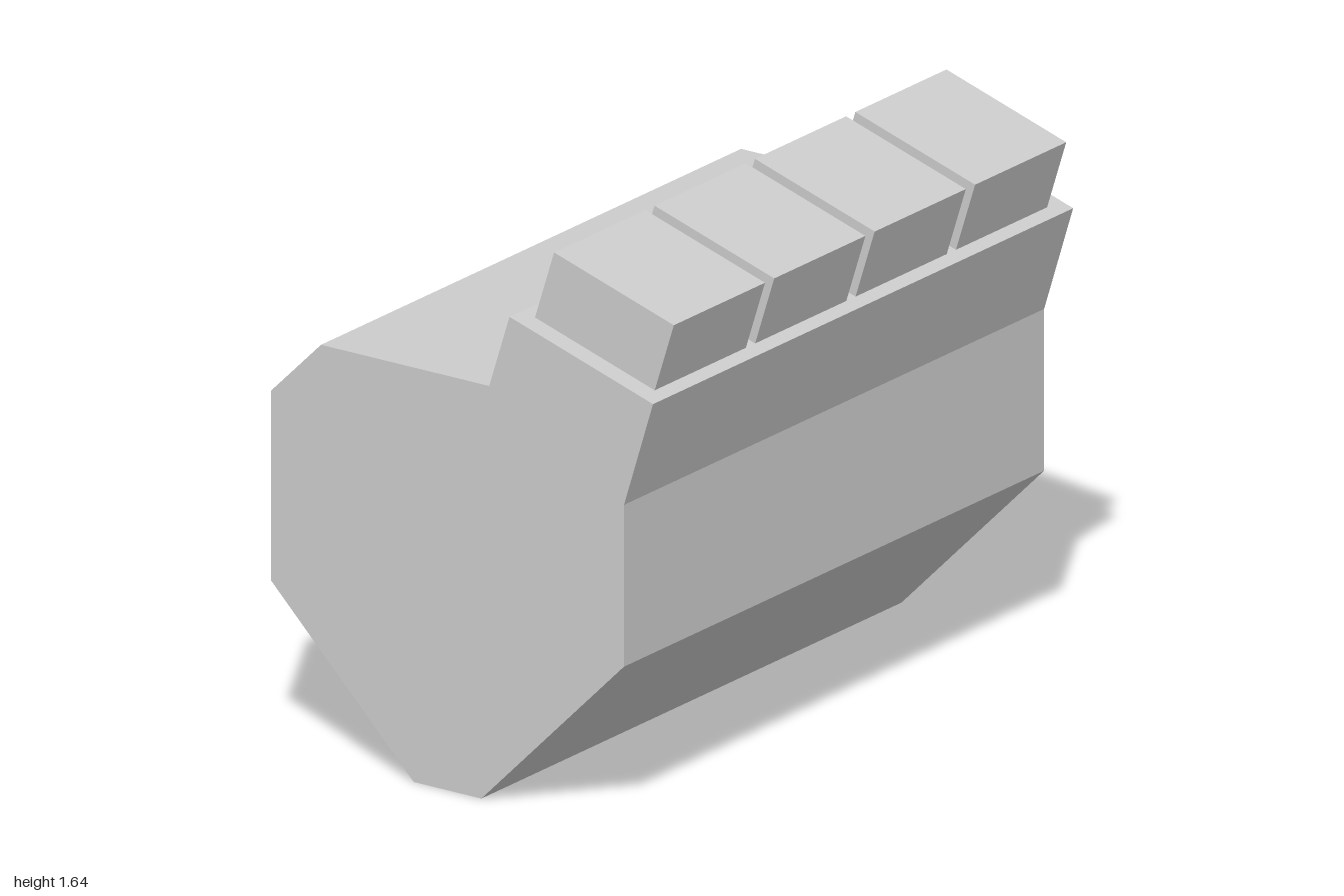
import * as THREE from 'three';

// Extrude a front-facing (x, y) outline along z, centred on z = 0
function prism(name, outline, depth, material) {
  const shape = new THREE.Shape(outline.map(([x, y]) => new THREE.Vector2(x, y)));
  const geometry = new THREE.ExtrudeGeometry(shape, { depth, bevelEnabled: false });
  geometry.translate(0, 0, -depth / 2);
  const mesh = new THREE.Mesh(geometry, material);
  mesh.name = name;
  return mesh;
}

export function createModel() {
  const group = new THREE.Group();
  group.name = 'ridgedBlock';
  const material = new THREE.MeshStandardMaterial({ color: 0xcccccc, flatShading: true });

  // Main body: chamfered prism with a slanted rail along its left side
  group.add(prism('body', [
    [-0.18, 0], [0.053, 0], [0.545, 0.495], [0.545, 0.975], [0.645, 1.295],
    [0.15, 1.45], [0.08, 1.23], [-0.5, 1.23], [-0.673, 1.057], [-0.673, 0.495],
  ], 2, material));

  // Row of four tilted blocks standing on the rail
  const blockOutline = [[0.19, 1.437], [0.603, 1.308], [0.669, 1.515], [0.256, 1.644]];
  const spacing = 0.478;
  for (let i = 0; i < 4; i++) {
    const block = prism('railBlock' + (i + 1), blockOutline, 0.434, material);
    block.position.z = (i - 1.5) * spacing;
    group.add(block);
  }
  return group;
}
